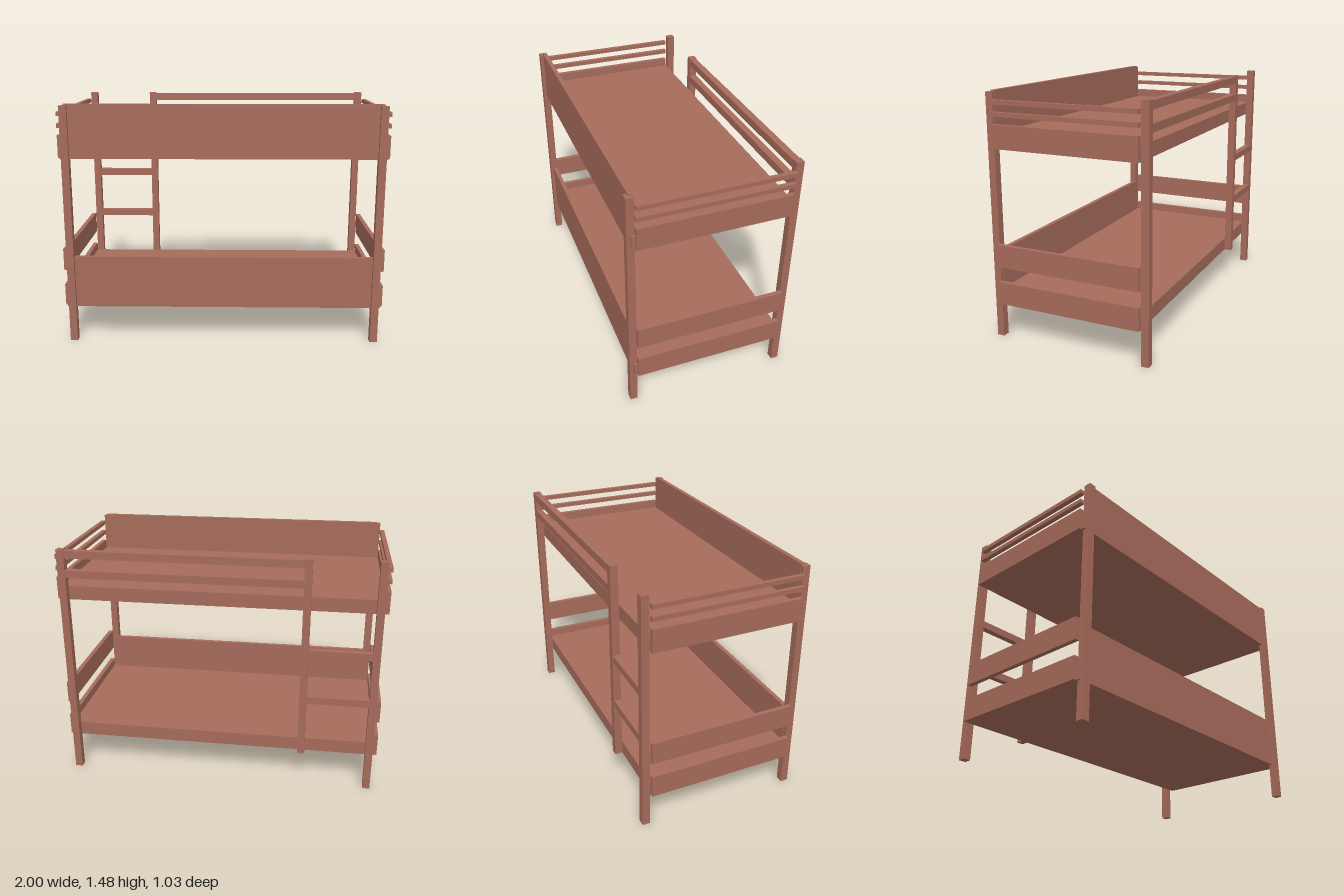
import * as THREE from 'three';

export function createModel() {
  const wood = new THREE.MeshStandardMaterial({ color: 0xa66b5a });
  wood.name = 'reddish wood';
  const bed = new THREE.Group();
  bed.name = 'bunkBed';

  // Box given by its minimum and maximum on each axis
  const box = (name, x0, x1, y0, y1, z0, z1) => {
    const mesh = new THREE.Mesh(new THREE.BoxGeometry(x1 - x0, y1 - y0, z1 - z0), wood);
    mesh.position.set((x0 + x1) / 2, (y0 + y1) / 2, (z0 + z1) / 2);
    mesh.name = name;
    bed.add(mesh);
  };

  // Box mirrored to both ends of the bed
  const pair = (name, x0, x1, ...rest) => {
    box(name + 'Left', x0, x1, ...rest);
    box(name + 'Right', -x1, -x0, ...rest);
  };

  // Corner posts
  pair('frontPost', 0.919, 0.965, 0, 1.473, 0.455, 0.5);
  pair('backPost', 0.919, 0.964, 0, 1.478, -0.502, -0.456);

  // Two bunks: slab deck, tall front board and end board
  for (const [name, y] of [['lower', 0.22], ['upper', 1.157]]) {
    box(name + 'Deck', -0.978, 0.978, y, y + 0.085, -0.456, 0.477);
    box(name + 'FrontBoard', -0.943, 0.943, y, y + 0.325, 0.452, 0.479);
    pair(name + 'EndBoard', 0.965, 0.993, y, y + 0.138, -0.453, 0.455);
  }

  // Second end boards of the lower bunk and end rails of the upper one
  pair('lowerHeadBoard', 0.965, 0.993, 0.451, 0.588, -0.453, 0.455);
  for (const y of [1.339, 1.408]) {
    pair('endRail', 0.965, 0.993, y, y + 0.026, -0.453, 0.455);
  }

  // Ladder at the back: one upright, sharing the corner post
  box('ladderUpright', -0.544, -0.499, 0.22, 1.478, -0.502, -0.456);
  for (const y of [0.571, 0.877]) {
    box('ladderRung', -0.93, -0.53, y, y + 0.045, -0.5, -0.458);
  }

  // Back guard rails from the ladder to the far post
  for (const y of [1.305, 1.425]) {
    box('guardRail', -0.51, 0.93, y, y + 0.047, -0.5, -0.457);
  }

  // The whole bed stands slightly turned
  bed.rotation.y = 0.0145;
  const model = new THREE.Group();
  model.name = 'bunkBedModel';
  model.add(bed);
  return model;
}
